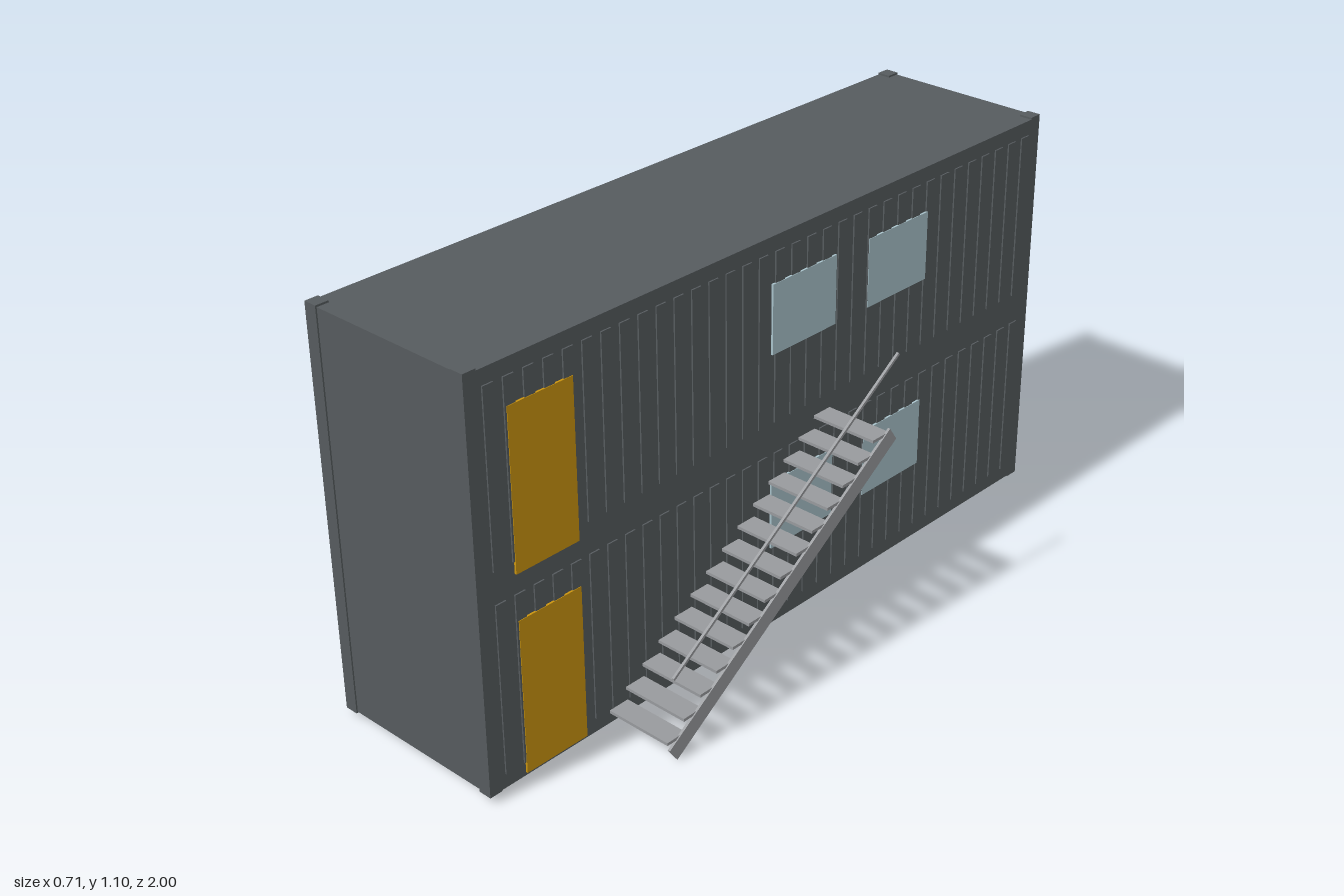
import * as THREE from 'three';

const paint = (name, color) => {
  const m = new THREE.MeshStandardMaterial({ color });
  m.name = name;
  return m;
};

export function createModel() {
  const steel = paint('anthracite steel', 0x565b5e);
  const yellow = paint('door yellow', 0xca940f);
  const glass = paint('window blue', 0xa8c2ca);
  const grey = paint('stair grey', 0x989a9d);
  const model = new THREE.Group();
  model.name = 'stackedContainers';

  // Box between two corners
  const block = (name, mat, [x0, y0, z0], [x1, y1, z1], parent = model) => {
    const mesh = new THREE.Mesh(new THREE.BoxGeometry(x1 - x0, y1 - y0, z1 - z0), mat);
    mesh.position.set((x0 + x1) / 2, (y0 + y1) / 2, (z0 + z1) / 2);
    mesh.name = name;
    parent.add(mesh);
    return mesh;
  };

  const L = -0.355, R = 0.158, post = 0.037;
  block('containerBody', steel, [L, 0.021, -0.997], [R, 1.092, 0.996]);

  // Corner posts with castings slightly proud of roof and floor
  for (const x of [L, R - post])
    for (const z of [-1, 1 - post])
      block('cornerPost', steel, [x, 0.018, z], [x + post, 1.097, z + post]);

  // Corrugated long walls, one row of ribs per storey
  const ribs = 34, pitch = 1.93 / ribs;
  for (const [y0, y1] of [[0.06, 0.515], [0.6, 1.052]]) {
    const row = new THREE.Group();
    row.name = 'wallRibs';
    model.add(row);
    for (let i = 0; i < ribs; i++) {
      const z = -0.965 + (i + 0.5) * pitch, h = pitch * 0.27;
      block('ribLeft', steel, [R - 0.002, y0, z - h], [R + 0.004, y1, z + h], row);
      block('ribRight', steel, [L - 0.004, y0, z - h], [L + 0.002, y1, z + h], row);
    }
  }

  // Doors and windows as thin plates over the ribs
  for (const [y0, y1] of [[0.03, 0.446], [0.567, 0.982]])
    block('door', yellow, [R, y0, 0.7], [R + 0.0055, y1, 0.89]);
  for (const [y0, y1] of [[0.248, 0.438], [0.787, 0.972]])
    for (const z of [-0.06, -0.413])
      block('window', glass, [R, y0, z - 0.115], [R + 0.0055, y1, z + 0.115]);

  // Outside stair: treads, one stringer and a handrail
  const stair = new THREE.Group();
  stair.name = 'stair';
  model.add(stair);
  for (let i = 0; i < 14; i++) {
    const y = 0.058 + i * 0.0385, z = 0.595 - i * 0.0558;
    block('tread', grey, [0.163, y - 0.004, z - 0.03], [0.352, y + 0.004, z + 0.03], stair);
  }
  const beam = (name, width, depth, [za, ya], [zb, yb]) => {
    const len = Math.hypot(zb - za, yb - ya);
    const mesh = new THREE.Mesh(new THREE.BoxGeometry(width, depth, len), grey);
    mesh.position.set(0.3515, (ya + yb) / 2, (za + zb) / 2);
    mesh.rotation.x = Math.atan2(yb - ya, za - zb);
    mesh.name = name;
    stair.add(mesh);
  };
  beam('stringer', 0.007, 0.045, [0.608, 0.019], [-0.174, 0.553]);
  beam('handrail', 0.007, 0.007, [0.602, 0.229], [-0.186, 0.767]);

  return model;
}
